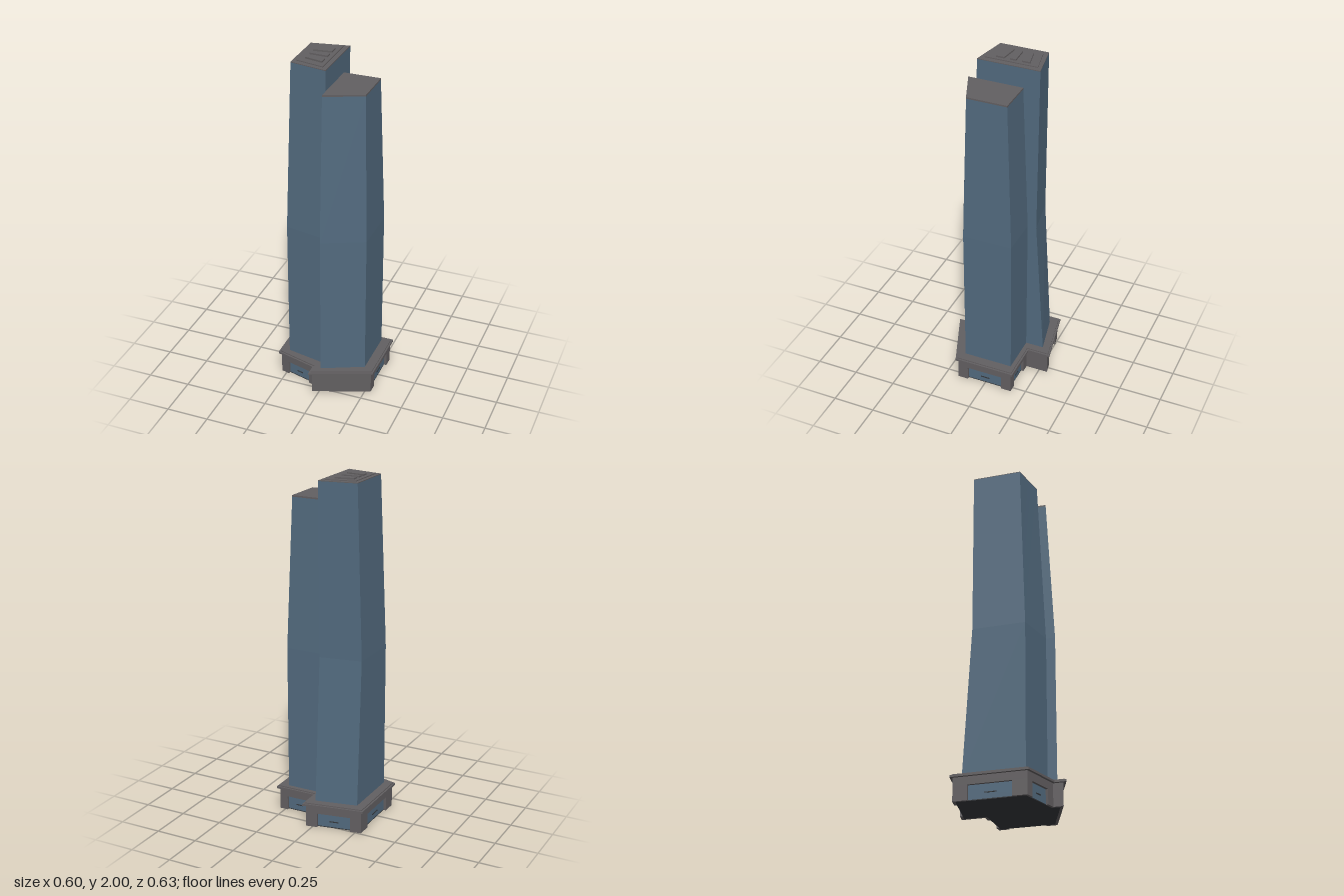
import * as THREE from 'three';
import { toCreasedNormals } from 'three/addons/utils/BufferGeometryUtils.js';

const glass = new THREE.MeshStandardMaterial({ color: 0x526a7e });
const concrete = new THREE.MeshStandardMaterial({ color: 0x625f61 });
const dark = new THREE.MeshStandardMaterial({ color: 0x33363a });

// Upright prism over a plan outline of [x, z] points
function prism(points, y0, y1, hole) {
  const flip = (p) => new THREE.Vector2(p[0], -p[1]);
  const shape = new THREE.Shape(points.map(flip));
  if (hole) shape.holes.push(new THREE.Path(hole.map(flip)));
  const geo = new THREE.ExtrudeGeometry(shape, { depth: y1 - y0, bevelEnabled: false });
  return geo.rotateX(-Math.PI / 2).translate(0, y0, 0);
}

// Parallel offset of a plan outline towards its inside
function inset(points, d) {
  const n = points.length;
  const edge = (i) => {
    const [ax, az] = points[i % n], [bx, bz] = points[(i + 1) % n];
    const len = Math.hypot(bx - ax, bz - az);
    const dx = (bx - ax) / len, dz = (bz - az) / len;
    return { x: ax - dz * d, z: az + dx * d, dx, dz };
  };
  return points.map((_, i) => {
    const a = edge(i + n - 1), b = edge(i);
    const t = ((b.x - a.x) * b.dz - (b.z - a.z) * b.dx) / (a.dx * b.dz - a.dz * b.dx);
    return [a.x + a.dx * t, a.z + a.dz * t];
  });
}

// Faceted shaft through stacked plan sections, closed at both ends
function loft(sections) {
  const n = sections[0].plan.length, pos = [], idx = [];
  for (const { y, plan } of sections) for (const [x, z] of plan) pos.push(x, y, z);
  for (let s = 0; s < sections.length - 1; s++) {
    for (let i = 0; i < n; i++) {
      const a = s * n + i, b = s * n + (i + 1) % n;
      idx.push(a, a + n, b, b, a + n, b + n);
    }
  }
  const top = (sections.length - 1) * n;
  for (let i = 1; i < n - 1; i++) {
    idx.push(0, i, i + 1, top, top + i + 1, top + i);
  }
  const geo = new THREE.BufferGeometry();
  geo.setAttribute('position', new THREE.Float32BufferAttribute(pos, 3));
  geo.setIndex(idx);
  return toCreasedNormals(geo, 0.02);
}

function add(parent, name, geo, material) {
  const mesh = new THREE.Mesh(geo, material);
  mesh.name = name;
  parent.add(mesh);
  return mesh;
}

function buildPodium() {
  const podium = new THREE.Group();
  podium.name = 'podium';
  const eaves = [[-0.298, -0.252], [0.053, -0.318], [0.053, -0.183], [0.298, -0.183],
    [0.298, 0.18], [-0.053, 0.315], [-0.053, 0.248], [-0.298, 0.18]];
  const outer = inset(eaves, 0.015), inner = inset(eaves, 0.03);
  const doorTop = 0.085, wallTop = 0.13;

  add(podium, 'podiumFloor', prism(inner, 0, 0.005), dark);
  add(podium, 'podiumGlazing', prism(inner, 0.005, doorTop), glass);
  add(podium, 'podiumUpperWall', prism(outer, doorTop, wallTop), concrete);
  add(podium, 'cornice', prism(eaves, wallTop, 0.142), concrete);
  add(podium, 'corniceCap', prism(inset(eaves, 0.01), 0.142, 0.148), concrete);

  // Start and end of the entrance along each wall; null is a solid wall
  const doors = [[0.2, 0.8], null, [0.2, 0.8], [0.18, 0.82], null, null, [0.2, 0.8], [0.2, 0.8]];
  const n = outer.length;
  doors.forEach((door, i) => {
    const j = (i + 1) % n, A = outer[i], B = outer[j];
    if (!door) {
      add(podium, 'solidWall', prism([A, B, inner[j], inner[i]], 0, doorTop), concrete);
      return;
    }
    const len = Math.hypot(B[0] - A[0], B[1] - A[1]);
    const dir = [(B[0] - A[0]) / len, (B[1] - A[1]) / len];
    const at = (t, depth) => [
      A[0] + dir[0] * len * t - dir[1] * depth,
      A[1] + dir[1] * len * t + dir[0] * depth];
    const [s, e] = door;
    add(podium, 'doorPier', prism([A, at(s, 0), at(s, 0.015), inner[i]], 0, doorTop), concrete);
    add(podium, 'doorPier', prism([at(e, 0), B, inner[j], at(e, 0.015)], 0, doorTop), concrete);
    // Push bar across the glass doors
    const bar = [at(0.42, 0.011), at(0.58, 0.011), at(0.58, 0.015), at(0.42, 0.015)];
    add(podium, 'doorBar', prism(bar, 0.036, 0.041), dark);
  });
  return podium;
}

function buildTallTower() {
  const tower = new THREE.Group();
  tower.name = 'tallTower';
  const roof = [[-0.215, -0.17], [0, -0.208], [0, 0.152], [-0.215, 0.112]];
  add(tower, 'tallShaft', loft([
    { y: 0.14, plan: [[-0.24, -0.205], [0, -0.256], [0, 0.197], [-0.24, 0.148]] },
    { y: 1.0, plan: [[-0.24, -0.158], [0, -0.2], [0, 0.197], [-0.24, 0.148]] },
    { y: 1.987, plan: roof },
  ]), glass);
  add(tower, 'tallRoof', prism(roof, 1.987, 1.991), concrete);

  // Raised kerb and three roof vents
  const kerb = [[-0.193, -0.148], [-0.028, -0.182], [-0.028, 0.122], [-0.193, 0.087]];
  add(tower, 'roofKerb', prism(kerb, 1.991, 1.996, inset(kerb, 0.008)), concrete);
  const vents = [[-0.105, -0.127, -0.08, -0.067], [-0.043, -0.047, -0.013, -0.018],
    [0.007, 0.02, 0.067, 0.043]];
  for (const [a, b, c, d] of vents) {
    add(tower, 'roofVent',
      prism([[-0.16, a], [-0.055, b], [-0.055, c], [-0.16, d]], 1.991, 2.0), concrete);
  }
  return tower;
}

function buildShortTower() {
  const tower = new THREE.Group();
  tower.name = 'shortTower';
  const wide = [[0, -0.148], [0.235, -0.148], [0.235, 0.143], [0, 0.25]];
  const roof = [[0, -0.113], [0.212, -0.113], [0.212, 0.12], [0, 0.205]];
  add(tower, 'shortShaft', loft([
    { y: 0.14, plan: wide }, { y: 1.0, plan: wide }, { y: 1.864, plan: roof },
  ]), glass);
  add(tower, 'shortRoof', prism(roof, 1.864, 1.873), concrete);
  return tower;
}

export function createModel() {
  const model = new THREE.Group();
  model.name = 'twinTower';
  model.add(buildPodium(), buildTallTower(), buildShortTower());
  return model;
}
